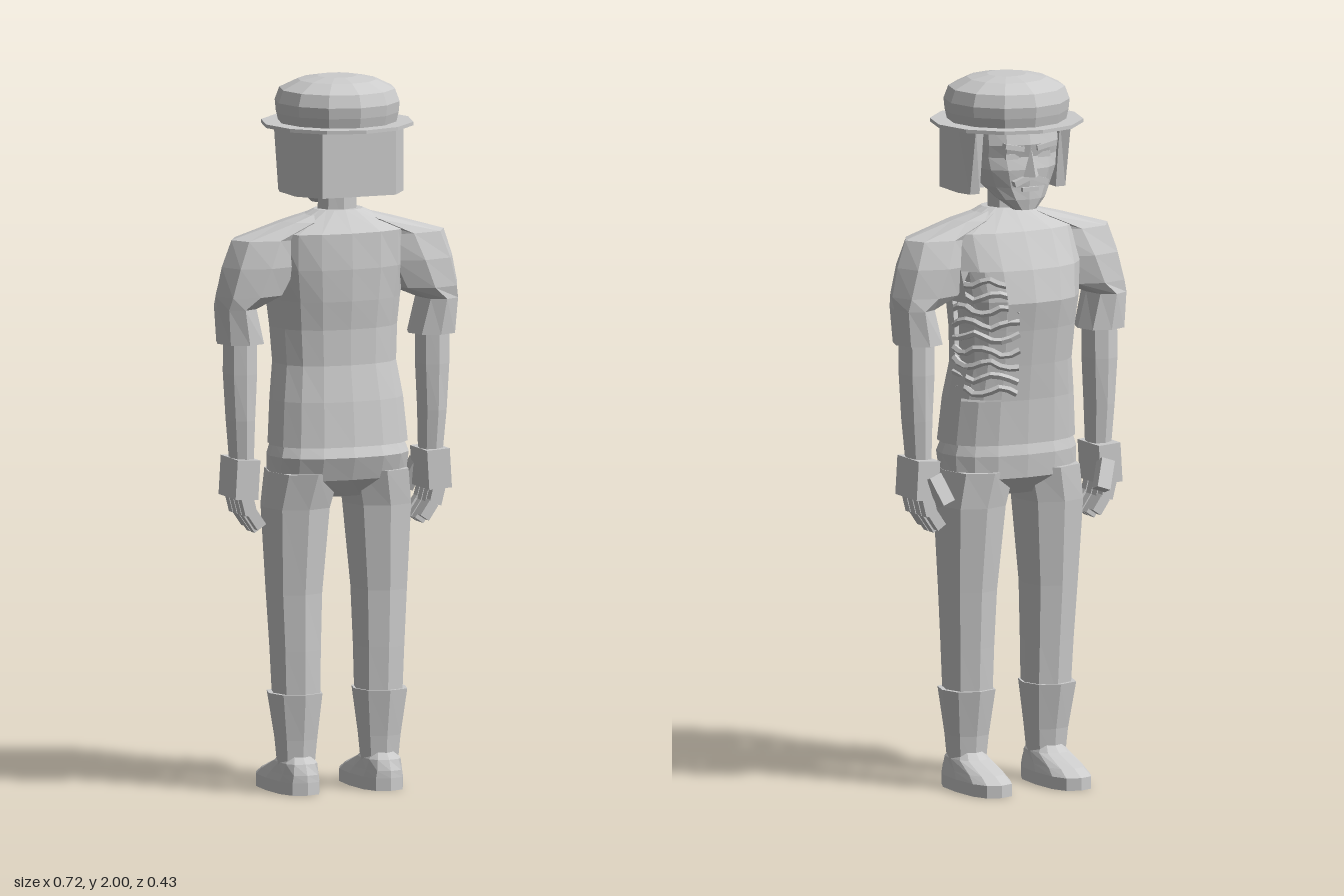
import * as THREE from 'three';

const grey = new THREE.MeshStandardMaterial({ color: 0xcccccc, flatShading: true, side: THREE.DoubleSide });
grey.name = 'light grey';

// Stacked rings, bottom to top: [y, centre x, half width, z back, z front].
function loft(rings, n = 8, p = 1, skip = () => false) {
  const pw = (v) => Math.sign(v) * Math.pow(Math.abs(v) < 1e-9 ? 0 : Math.abs(v), p);
  const pos = [];
  const pt = (i, j) => {
    const [y, cx, rx, zb, zf] = rings[i], a = ((j % n) / n) * Math.PI * 2;
    return [cx + rx * pw(Math.cos(a)), y, (zb + zf) / 2 + ((zb - zf) / 2) * pw(Math.sin(a))];
  };
  const mid = (i) => [rings[i][1], rings[i][0], (rings[i][3] + rings[i][4]) / 2];
  const last = rings.length - 1;
  for (let j = 0; j < n; j++) {
    for (let i = 0; i < last; i++) {
      if (skip(i, j)) continue;
      const a = pt(i, j), b = pt(i, j + 1), c = pt(i + 1, j), d = pt(i + 1, j + 1);
      pos.push(...a, ...c, ...d, ...a, ...d, ...b);
    }
    pos.push(...mid(0), ...pt(0, j), ...pt(0, j + 1));
    pos.push(...mid(last), ...pt(last, j + 1), ...pt(last, j));
  }
  const g = new THREE.BufferGeometry();
  g.setAttribute('position', new THREE.Float32BufferAttribute(pos, 3));
  g.computeVertexNormals();
  return g;
}

export function createModel() {
  const root = new THREE.Group();
  root.name = 'figure';
  const add = (name, geo, parent = root) => {
    const m = new THREE.Mesh(geo, grey);
    m.name = name;
    parent.add(m);
    return m;
  };
  const box = (name, w, h, d, x, y, z, rx = 0, rz = 0, parent = root) => {
    const m = add(name, new THREE.BoxGeometry(w, h, d), parent);
    m.position.set(x, y, z);
    m.rotation.set(rx, 0, rz);
    return m;
  };

  // Bowler hat
  add('hatBrim', new THREE.CylinderGeometry(0.213, 0.213, 0.01, 12)).position.y = 1.868;
  const crown = [[1.87, 0.165], [1.9, 0.172], [1.93, 0.175], [1.965, 0.162], [1.99, 0.11], [2, 0.055]];
  add('hatCrown', loft(crown.map(([y, r]) => [y, 0, r, r, -r]), 12));

  // Hair: a straight bob open at the face
  const hair = new THREE.Shape([
    [0.15, -0.1], [0.165, -0.02], [0.162, 0.09], [0.11, 0.16], [-0.11, 0.16], [-0.162, 0.09], [-0.165, -0.02],
    [-0.15, -0.1], [-0.12, -0.09], [-0.12, 0.02], [0.12, 0.02], [0.12, -0.09],
  ].map(([x, z]) => new THREE.Vector2(x, z)));
  const hairGeo = new THREE.ExtrudeGeometry(hair, { depth: 0.19, bevelEnabled: false });
  hairGeo.rotateX(Math.PI / 2);
  const hp = hairGeo.attributes.position;
  for (let i = 0; i < hp.count; i++) { // front edge slopes back towards the bottom
    if (hp.getY(i) < -0.1 && hp.getZ(i) < -0.08) hp.setZ(i, -0.065);
  }
  hairGeo.computeVertexNormals();
  add('hair', hairGeo).position.y = 1.87;

  // Face
  add('face', loft([
    [1.635, 0, 0.035, -0.075, -0.13], [1.665, 0, 0.07, -0.02, -0.135], [1.7, 0, 0.095, 0.04, -0.135],
    [1.75, 0, 0.115, 0.05, -0.14], [1.785, 0, 0.12, 0.05, -0.132], [1.82, 0, 0.122, 0.05, -0.142],
    [1.87, 0, 0.122, 0.05, -0.13],
  ], 12, 0.85));
  const nose = add('nose', new THREE.ConeGeometry(0.024, 0.08, 4));
  nose.position.set(0, 1.772, -0.143);
  nose.scale.z = 1.15;
  box('lowerLip', 0.05, 0.012, 0.015, 0, 1.695, -0.135);
  for (const s of [-1, 1]) {
    box('moustache', 0.055, 0.016, 0.02, s * 0.026, 1.722, -0.138, 0, -s * 0.35);
    box('brow', 0.06, 0.014, 0.022, s * 0.05, 1.815, -0.133, 0, s * 0.2);
    box('eye', 0.04, 0.016, 0.016, s * 0.05, 1.788, -0.12);
  }
  add('neck', loft([[1.58, 0, 0.06, 0.05, -0.05], [1.72, 0, 0.056, 0.05, -0.05]], 8));

  // Shirt, torn open over the ribs on its left front
  const shirt = [
    [0.975, 0, 0.2, 0.132, -0.125], [1.1, 0, 0.19, 0.118, -0.132], [1.2, 0, 0.175, 0.1, -0.145],
    [1.3, 0, 0.18, 0.1, -0.16], [1.38, 0, 0.188, 0.11, -0.176], [1.47, 0, 0.2, 0.115, -0.155],
    [1.57, 0, 0.2, 0.11, -0.105], [1.63, 0, 0.07, 0.06, -0.045],
  ];
  const torn = (i, j) => (i >= 1 && i <= 4 && j >= 13 && j <= 14) || (i >= 2 && i <= 3 && j === 15);
  add('shirt', loft(shirt, 16, 0.85, torn));
  add('innerBody', loft(shirt.slice(1, 6).map(([y, x, r, b, f]) => [y, x, r * 0.82, b * 0.82, f * 0.8]), 16, 0.85));
  for (let k = 0; k < 9; k++) {
    const y = 1.13 + k * 0.038;
    const bulge = 0.15 + 0.02 * Math.sin((k / 8) * Math.PI);
    const pts = [];
    for (let q = 0; q <= 5; q++) {
      const a = -0.1 - q * 0.24;
      pts.push(new THREE.Vector3(0.175 * Math.cos(a), y + 0.012 * Math.sin(q * 2 + k), bulge * Math.sin(a)));
    }
    add('rib', new THREE.TubeGeometry(new THREE.CatmullRomCurve3(pts), 8, 0.01, 5));
  }

  // Trousers: hips
  add('hips', loft([
    [0.83, 0, 0.1, 0.07, -0.08], [0.88, 0, 0.2, 0.11, -0.122], [0.945, 0, 0.203, 0.133, -0.128],
    [0.985, 0, 0.19, 0.115, -0.118],
  ], 16, 0.85));

  for (const s of [-1, 1]) {
    const side = new THREE.Group();
    side.name = s > 0 ? 'leftLimbs' : 'rightLimbs';
    root.add(side);

    // Leg, boot shaft and foot
    add('leg', loft([
      [0.25, s * 0.123, 0.066, 0.07, -0.07], [0.4, s * 0.125, 0.07, 0.075, -0.08],
      [0.56, s * 0.127, 0.077, 0.078, -0.092], [0.8, s * 0.122, 0.094, 0.095, -0.115],
      [0.9, s * 0.103, 0.1, 0.115, -0.125],
    ], 8, 0.8), side);
    add('bootShaft', loft([
      [0.07, s * 0.125, 0.052, 0.055, -0.05], [0.15, s * 0.125, 0.06, 0.062, -0.058],
      [0.28, s * 0.127, 0.077, 0.08, -0.083],
    ], 8, 0.8), side);
    add('foot', loft([
      [0, s * 0.125, 0.066, 0.09, -0.205], [0.035, s * 0.125, 0.066, 0.09, -0.205],
      [0.055, s * 0.125, 0.06, 0.088, -0.165], [0.085, s * 0.125, 0.052, 0.075, -0.075],
      [0.11, s * 0.125, 0.035, 0.05, -0.045],
    ], 12, 0.75), side);

    // Short sleeve running up into the shoulder
    add('sleeve', loft([
      [1.265, s * 0.286, 0.068, 0.062, -0.085], [1.365, s * 0.302, 0.056, 0.068, -0.085],
      [1.4, s * 0.262, 0.1, 0.08, -0.09], [1.48, s * 0.23, 0.115, 0.085, -0.09],
      [1.555, s * 0.2, 0.118, 0.075, -0.07], [1.6, s * 0.1, 0.065, 0.07, -0.06],
      [1.622, s * 0.055, 0.025, 0.045, -0.04],
    ], 8, 0.9), side);

    // Forearm and hand
    add('forearm', loft([
      [0.9, s * 0.282, 0.03, 0.03, -0.05], [1.05, s * 0.287, 0.038, 0.042, -0.058],
      [1.18, s * 0.288, 0.046, 0.045, -0.062], [1.3, s * 0.288, 0.046, 0.045, -0.06],
    ], 8, 0.8), side);
    box('palm', 0.068, 0.11, 0.125, s * 0.287, 0.887, -0.014, 0, s * 0.06, side);
    for (let f = 0; f < 4; f++) {
      const z = 0.033 - f * 0.032, len = f === 0 || f === 3 ? 0.05 : 0.062;
      box('fingerBase', 0.036, 0.06, 0.027, s * 0.283, 0.818, z, 0, -s * 0.25, side);
      box('fingerTip', 0.03, len, 0.026, s * 0.258, 0.788 - len / 2 + 0.01, z, 0, -s * 0.6, side);
    }
    box('thumb', 0.04, 0.085, 0.035, s * 0.258, 0.86, -0.088, 0.35, -s * 0.35, side);
  }
  return root;
}
